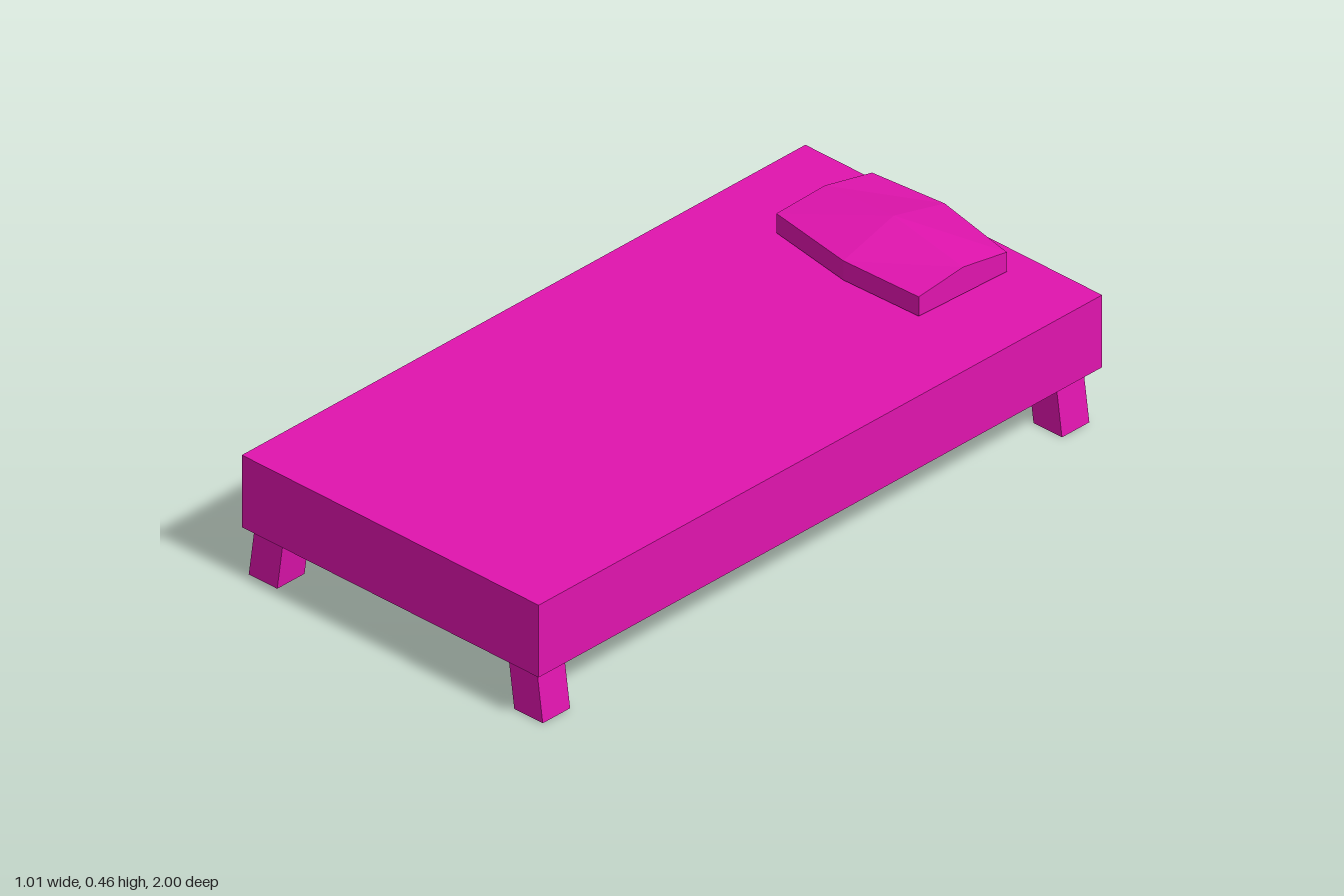
import * as THREE from 'three';

const material = new THREE.MeshStandardMaterial({ color: 0xe014ae, flatShading: true });

function add(parent, geometry, name) {
  const mesh = new THREE.Mesh(geometry, material);
  mesh.name = name;
  parent.add(mesh);
  return mesh;
}

function rectangle(path, hw, hd) {
  path.moveTo(-hw, -hd);
  path.lineTo(hw, -hd);
  path.lineTo(hw, hd);
  path.lineTo(-hw, hd);
  path.closePath();
  return path;
}

// Skin between matching cross-sections (listed along +x), with both ends capped
function loft(sections) {
  const n = sections[0].length;
  const index = [];
  for (let i = 0; i < sections.length - 1; i++) {
    for (let k = 0; k < n; k++) {
      const a = i * n + k, b = i * n + (k + 1) % n;
      index.push(a, a + n, b + n, a, b + n, b);
    }
  }
  const last = (sections.length - 1) * n;
  for (let k = 1; k < n - 1; k++) {
    index.push(0, k, k + 1, last, last + k + 1, last + k);
  }
  const indexed = new THREE.BufferGeometry();
  indexed.setAttribute('position', new THREE.Float32BufferAttribute(sections.flat(2), 3));
  indexed.setIndex(index);
  const geometry = indexed.toNonIndexed();
  geometry.computeVertexNormals();
  return geometry;
}

export function createModel() {
  const bed = new THREE.Group();
  bed.name = 'bed';

  const halfWidth = 0.505, halfLength = 1;
  const frameBottom = 0.143, recessTop = 0.225, frameTop = 0.352;

  // Mattress slab
  const slab = new THREE.BoxGeometry(2 * halfWidth, frameTop - recessTop, 2 * halfLength);
  add(bed, slab, 'mattress').position.y = (frameTop + recessTop) / 2;

  // Rim below it, leaving a recess underneath
  const outline = rectangle(new THREE.Shape(), halfWidth, halfLength);
  outline.holes.push(rectangle(new THREE.Path(), halfWidth - 0.13, halfLength - 0.15));
  const rim = new THREE.ExtrudeGeometry(outline, { depth: recessTop - frameBottom, bevelEnabled: false });
  rim.rotateX(-Math.PI / 2);
  add(bed, rim, 'frameRim').position.y = frameBottom;

  // Square legs splayed outwards at the foot
  for (const side of [-1, 1]) {
    for (const [end, z] of [['front', 0.932], ['back', -0.911]]) {
      const leg = new THREE.BoxGeometry(0.097, frameBottom, 0.097);
      leg.translate(0, frameBottom / 2, 0);
      const p = leg.attributes.position;
      for (let i = 0; i < p.count; i++) {
        if (p.getY(i) < 0.01) p.setX(i, p.getX(i) + side * 0.02);
      }
      leg.computeVertexNormals();
      add(bed, leg, end + (side > 0 ? 'Left' : 'Right') + 'Leg').position.set(side * 0.432, 0, z);
    }
  }

  // Pillow: three sections of [back x, back z, front x, front z, ridge x, ridge y, ridge z]
  const base = 0.358, edge = 0.414;
  const pillow = [
    [-0.228, -0.948, -0.266, -0.648, -0.247, 0.435, -0.8],
    [0.0, -0.968, 0.005, -0.603, 0.0, 0.46, -0.787],
    [0.267, -0.91, 0.255, -0.61, 0.261, 0.435, -0.762],
  ].map(([bx, bz, fx, fz, rx, ry, rz]) => [
    [bx, base, bz], [fx, base, fz], [fx, edge, fz], [rx, ry, rz], [bx, edge, bz],
  ]);
  add(bed, loft(pillow), 'pillow');

  return bed;
}
